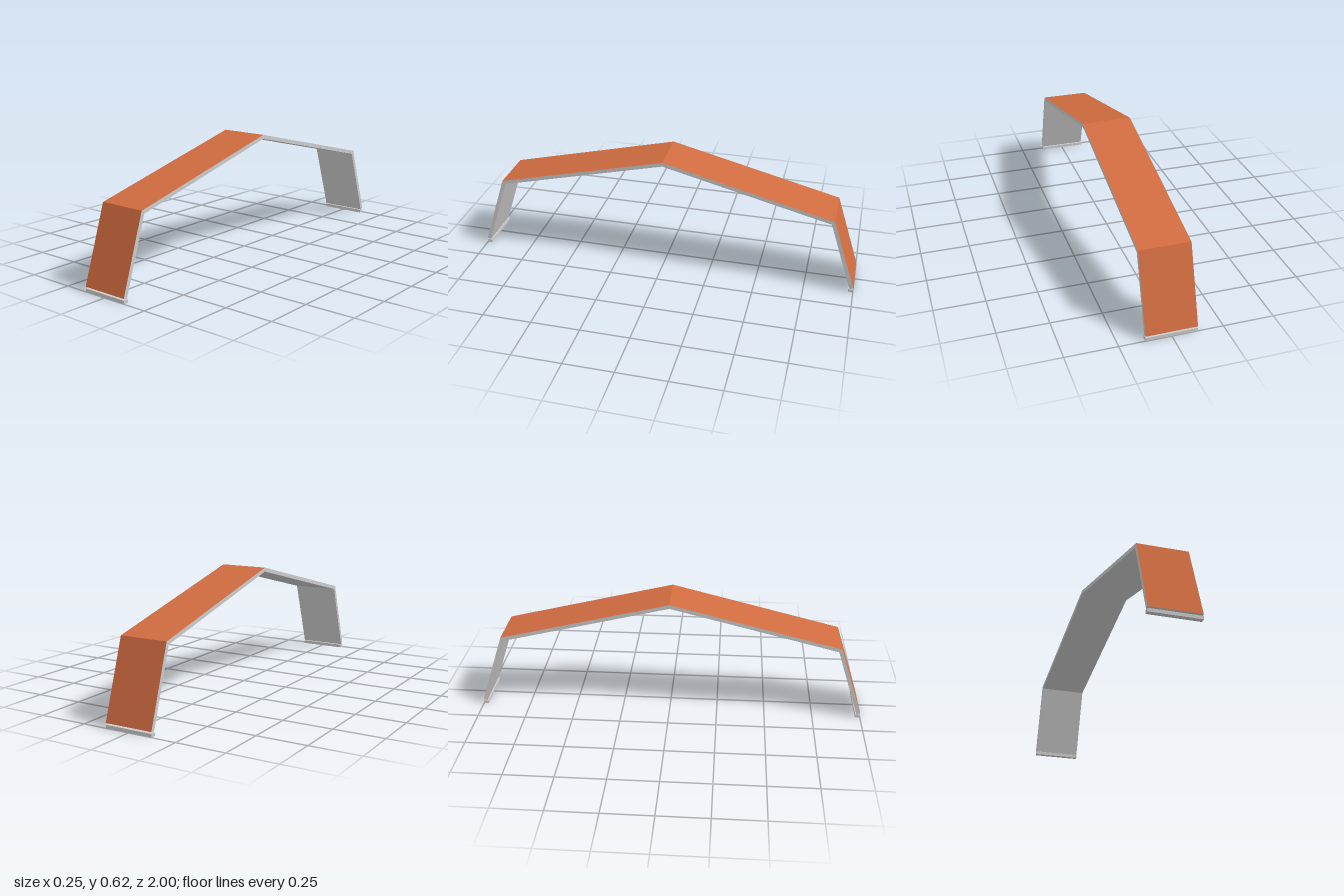
import * as THREE from 'three';

const HALF = 0.125; // half the width of the band

// Flat-shaded geometry from a list of four-cornered faces
function quads(faces) {
  const pos = [];
  for (const [a, b, c, d] of faces) for (const p of [a, b, c, a, c, d]) pos.push(...p);
  const g = new THREE.BufferGeometry();
  g.setAttribute('position', new THREE.Float32BufferAttribute(pos, 3));
  g.computeVertexNormals();
  return g;
}

// Mirror a half profile of [z, y] points, foot to peak, over z = 0
const mirrored = (half) => [...half, ...half.slice(0, -1).reverse().map(([z, y]) => [-z, y])];

export function createModel() {
  const orange = new THREE.MeshStandardMaterial({ color: 0xd16c40 });
  orange.name = 'orange cladding';
  const grey = new THREE.MeshStandardMaterial({ color: 0xcccccc });
  grey.name = 'light grey';

  const model = new THREE.Group();
  model.name = 'arch';
  const add = (name, geometry, material) => {
    const mesh = new THREE.Mesh(geometry, material);
    mesh.name = name;
    model.add(mesh);
    return mesh;
  };

  // Outer and inner profiles of the band, 0.02 apart with mitred corners
  const outer = mirrored([[1, 0.025], [0.875, 0.4], [0, 0.617]]);
  const inner = mirrored([[0.981, 0.0187], [0.8595, 0.3832], [0, 0.5964]]);
  const L = ([z, y]) => [HALF, y, z];
  const R = ([z, y]) => [-HALF, y, z];

  const skin = [], body = [];
  for (let i = 0; i < outer.length - 1; i++) {
    const [o, p, n, m] = [outer[i], outer[i + 1], inner[i], inner[i + 1]];
    skin.push([R(o), L(o), L(p), R(p)]);
    body.push([R(m), L(m), L(n), R(n)]); // underside
    body.push([L(o), L(n), L(m), L(p)]); // left edge
    body.push([R(p), R(m), R(n), R(o)]); // right edge
  }
  // Square-cut ends of the legs
  const e = outer.length - 1;
  body.push([R(inner[0]), L(inner[0]), L(outer[0]), R(outer[0])]);
  body.push([R(outer[e]), L(outer[e]), L(inner[e]), R(inner[e])]);

  add('outerCladding', quads(skin), orange);
  add('archBody', quads(body), grey);

  // Foot plates under both legs
  for (const s of [1, -1]) {
    const foot = add(s > 0 ? 'frontFoot' : 'backFoot',
      new THREE.BoxGeometry(2 * HALF, 0.0165, 0.025), grey);
    foot.position.set(0, 0.00825, s * 0.9875);
  }
  return model;
}
